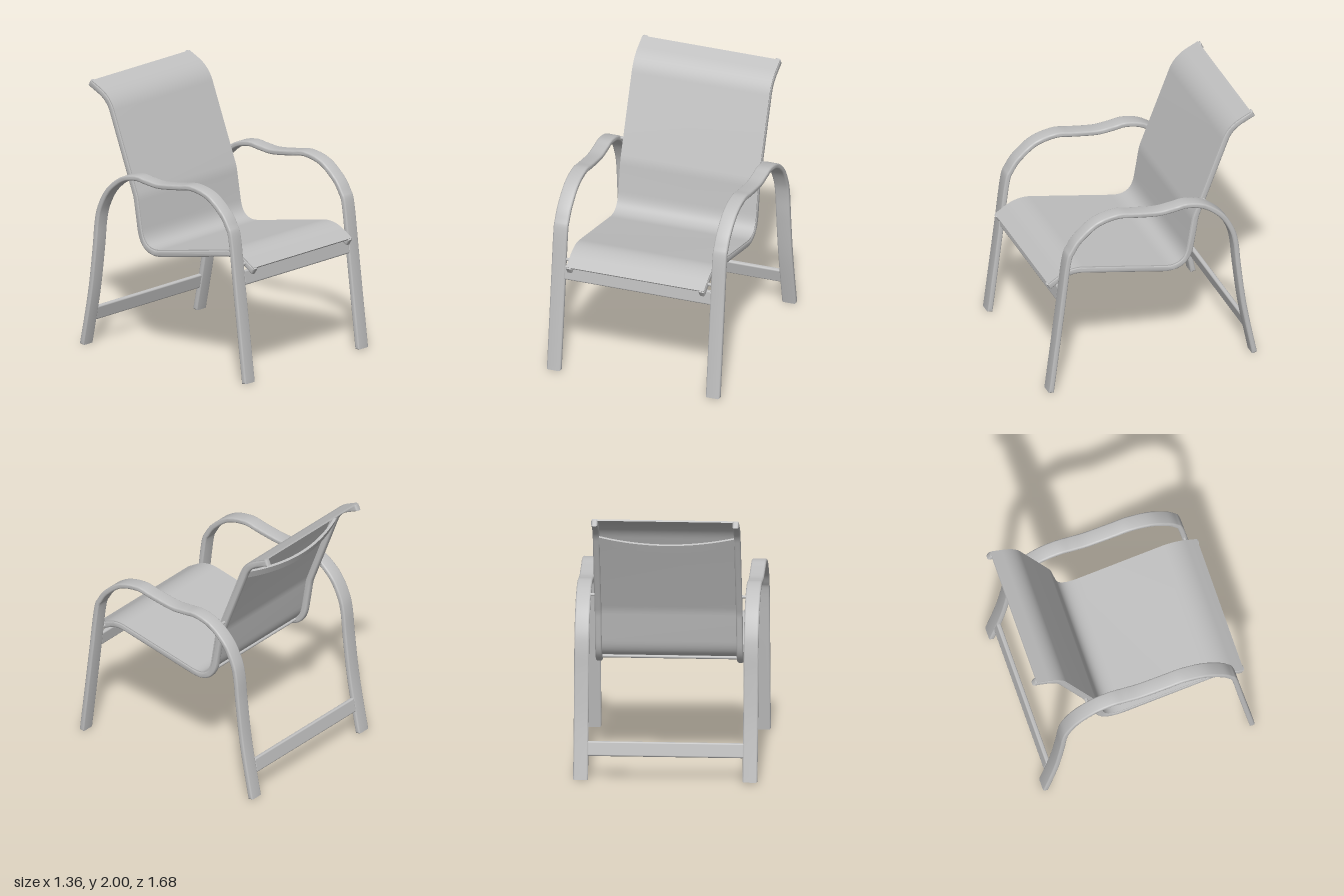
import * as THREE from 'three';
import { toCreasedNormals } from 'three/addons/utils/BufferGeometryUtils.js';
import { RoundedBoxGeometry } from 'three/addons/geometries/RoundedBoxGeometry.js';

const V = (x, y) => new THREE.Vector2(x, y);

// Polyline with rounded corners; each entry is [z, y, corner length]
function filletPath(corners, steps = 12) {
  const pts = corners.map(([z, y]) => V(-z, y));
  const out = [pts[0]];
  for (let i = 1; i < pts.length - 1; i++) {
    const d = corners[i][2];
    const toward = (q) => pts[i].clone().add(q.clone().sub(pts[i]).setLength(d));
    const bend = new THREE.QuadraticBezierCurve(toward(pts[i - 1]), pts[i], toward(pts[i + 1]));
    out.push(...bend.getPoints(steps));
  }
  out.push(pts[pts.length - 1]);
  return out;
}

// Band following a side-view path, between two offsets from it, spanning x0 to x1
function band(path, lo, hi, x0, x1, bevel) {
  const normals = path.map((p, i) => {
    const t = V(0, 0);
    if (i > 0) t.add(p.clone().sub(path[i - 1]).normalize());
    if (i < path.length - 1) t.add(path[i + 1].clone().sub(p).normalize());
    t.normalize();
    return V(-t.y, t.x);
  });
  const side = (o) => path.map((p, i) => p.clone().addScaledVector(normals[i], o));
  const shape = new THREE.Shape([...side(lo), ...side(hi).reverse()]);
  const geo = new THREE.ExtrudeGeometry(shape, {
    depth: x1 - x0 - 2 * bevel, bevelEnabled: bevel > 0, bevelThickness: bevel,
    bevelSize: bevel, bevelOffset: -bevel, bevelSegments: 3,
  });
  geo.translate(0, 0, x0 + bevel).rotateY(Math.PI / 2);
  return toCreasedNormals(geo, 0.7);
}

export function createModel() {
  const group = new THREE.Group();
  const grey = new THREE.MeshStandardMaterial({ color: 0xc0c0c0 });
  grey.name = 'light grey';

  const add = (name, geo, x = 0, y = 0, z = 0, tilt = 0) => {
    const mesh = new THREE.Mesh(geo, grey);
    mesh.name = name;
    mesh.position.set(x, y, z);
    mesh.rotation.x = tilt;
    group.add(mesh);
    return mesh;
  };
  const rod = (name, r, length, x, y, z) =>
    add(name, new THREE.CylinderGeometry(r, r, length, 16).rotateZ(Math.PI / 2), x, y, z);

  // Leg and armrest loop, front foot to back foot
  const armPath = new THREE.SplineCurve([
    [0.825, 0.005], [0.78, 0.36], [0.735, 0.72], [0.69, 1.08], [0.655, 1.175], [0.59, 1.265],
    [0.46, 1.365], [0.3, 1.402], [0.167, 1.383], [-0.02, 1.358], [-0.15, 1.366], [-0.257, 1.375],
    [-0.39, 1.338], [-0.52, 1.235], [-0.6, 1.1], [-0.634, 0.97], [-0.655, 0.76], [-0.7, 0.415],
    [-0.78, 0.005],
  ].map(([z, y]) => V(-z, y))).getPoints(110);

  // Sling profile, front lip to top of the back
  const slingPath = filletPath([
    [0.796, 0.832], [0.62, 0.941, 0.1], [-0.295, 0.76, 0.19],
    [-0.365, 1.185, 0.035], [-0.637, 1.886, 0.1], [-0.825, 1.974],
  ]);

  for (const [label, s] of [['left', 1], ['right', -1]]) {
    const span = (a, b) => (s > 0 ? [a, b] : [-b, -a]);
    add(label + 'LegAndArm', band(armPath, -0.02, 0.02, ...span(0.57, 0.68), 0.012));
    add(label + 'SeatRail', band(slingPath, -0.027, 0.025, ...span(0.497, 0.545), 0.014));
    rod(label + 'FrontBolt', 0.012, 0.06, s * 0.56, 0.88, 0.715);
    rod(label + 'BackBolt', 0.012, 0.06, s * 0.56, 1.325, -0.425);
  }

  // Fabric sling, ending just short of the rail tips
  const fabricPath = slingPath.map((p) => p.clone());
  const n = fabricPath.length - 1;
  fabricPath[0].lerp(fabricPath[1], 0.1);
  fabricPath[n].lerp(fabricPath[n - 1], 0.12);
  add('fabricSling', band(fabricPath, 0.017, 0.029, -0.541, 0.541, 0));

  // Cross bars between the legs
  add('frontCrossBar', new RoundedBoxGeometry(1.16, 0.11, 0.034, 3, 0.012), 0, 0.78, 0.728, -0.126);
  add('backCrossBar', new RoundedBoxGeometry(1.16, 0.11, 0.034, 3, 0.012), 0, 0.235, -0.737, 0.2);
  rod('underSeatRod', 0.012, 1.02, 0, 0.815, -0.245);

  // Bowed brace behind the backrest
  const bow = (depth) => Array.from({ length: 33 }, (_, i) => {
    const t = i / 16 - 1;
    return V(t * 0.515, depth + 0.1 * (1 - t * t));
  });
  const braceShape = new THREE.Shape([...bow(0), ...bow(0.02).reverse()]);
  const brace = new THREE.ExtrudeGeometry(braceShape, { depth: 0.062, bevelEnabled: false });
  add('backBrace', toCreasedNormals(brace, 0.6), 0, 1.765, -0.59, Math.atan2(-0.933, -0.361));

  return group;
}
